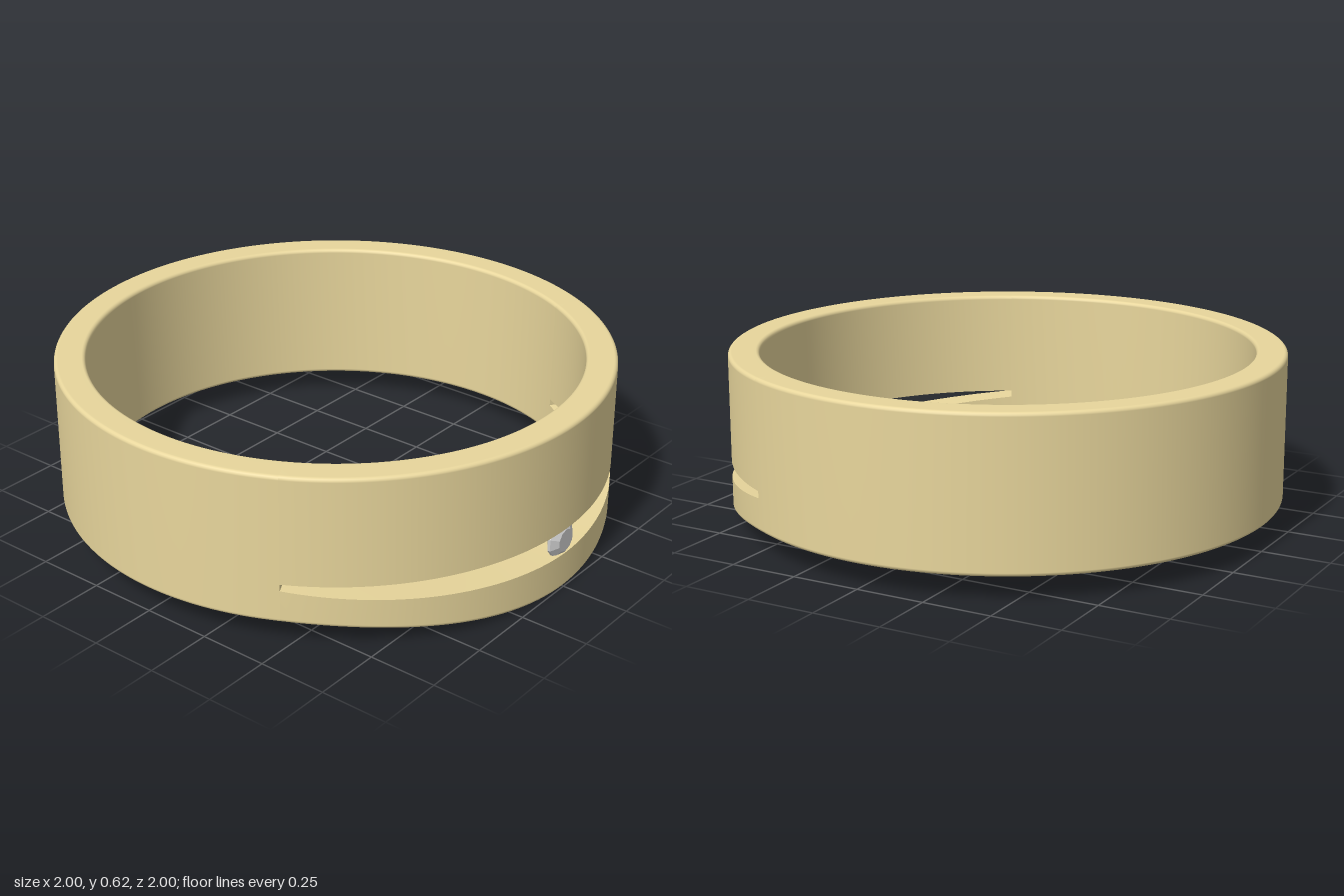
import * as THREE from 'three';

const R_OUT = 1, R_IN = 0.888, TOP = 0.63, FILLET = 0.014;
const SLOT_TOP = 0.235, SLOT_END = 1.075, DIP_END = 1.13;

// Heights that vary with the angle a, measured from the front (+z) towards +x
const bottomY = (a) => {
  const t = Math.min(Math.abs(a) / DIP_END, 1);
  return 0.09 - 0.0425 * (1 + Math.cos(Math.PI * t));
};
const slotY = (a) => 0.14 + 0.07 * Math.pow(Math.min(Math.abs(a) / SLOT_END, 1), 1.5);

// Rectangular section as [r, y] points; each corner is rounded or sharp (doubled point)
function section(low, high, roundLow, roundHigh) {
  const points = [];
  const corner = (r, y, sr, sy, startAngle, round) => {
    if (!round) return points.push([r, y], [r, y]);
    for (let k = 0; k <= 4; k++) {
      const t = startAngle + (k / 4) * Math.PI / 2;
      points.push([
        r - sr * FILLET + FILLET * Math.cos(t),
        y - sy * FILLET + FILLET * Math.sin(t),
      ]);
    }
  };
  corner(R_OUT, low, 1, -1, -Math.PI / 2, roundLow);
  corner(R_OUT, high, 1, 1, 0, roundHigh);
  corner(R_IN, high, -1, 1, Math.PI / 2, roundHigh);
  corner(R_IN, low, -1, -1, Math.PI, roundLow);
  return points;
}

// Sweep a changing section around the ring between two angles
function sweep(from, to, steps, sectionAt) {
  const positions = [], index = [];
  let n = 0;
  for (let i = 0; i <= steps; i++) {
    const a = from + (to - from) * i / steps;
    const points = sectionAt(a);
    n = points.length;
    for (const [r, y] of points) positions.push(r * Math.sin(a), y, r * Math.cos(a));
  }
  for (let i = 0; i < steps; i++) {
    for (let j = 0; j < n; j++) {
      const k = (j + 1) % n;
      const a = i * n + j, b = i * n + k, c = a + n, d = b + n;
      index.push(a, c, b, b, c, d);
    }
  }
  const geometry = new THREE.BufferGeometry();
  geometry.setAttribute('position', new THREE.Float32BufferAttribute(positions, 3));
  geometry.setIndex(index);
  geometry.computeVertexNormals();
  return geometry;
}

export function createModel() {
  const model = new THREE.Group();
  model.name = 'ring';
  const gold = new THREE.MeshStandardMaterial({ color: 0xe8d69c });
  const goldThin = new THREE.MeshStandardMaterial({ color: 0xe8d69c, side: THREE.DoubleSide });
  const stone = new THREE.MeshStandardMaterial({ color: 0xcccccc, flatShading: true });

  const add = (name, geometry, material) => {
    const mesh = new THREE.Mesh(geometry, material);
    mesh.name = name;
    model.add(mesh);
    return mesh;
  };

  // Solid band round the back and sides
  const wrap = (a) => (a > Math.PI ? a - 2 * Math.PI : a);
  add('backBand', sweep(SLOT_END, 2 * Math.PI - SLOT_END, 120,
    (a) => section(bottomY(wrap(a)), TOP, true, true)), gold);

  // Front of the band, split by the slot
  add('upperBand', sweep(-SLOT_END, SLOT_END, 64,
    () => section(SLOT_TOP, TOP, false, true)), gold);
  add('lowerBand', sweep(-SLOT_END, SLOT_END, 64,
    (a) => section(bottomY(a), slotY(a), true, false)), gold);

  // Small walls closing the ends of the slot
  const wallHeight = SLOT_TOP - slotY(SLOT_END);
  for (const side of [-1, 1]) {
    const a = side * SLOT_END, r = (R_OUT + R_IN) / 2;
    const wall = add(side > 0 ? 'leftSlotEnd' : 'rightSlotEnd',
      new THREE.PlaneGeometry(R_OUT - R_IN, wallHeight), goldThin);
    wall.position.set(r * Math.sin(a), SLOT_TOP - wallHeight / 2, r * Math.cos(a));
    wall.rotation.y = a - Math.PI / 2;
  }

  // Faceted stone held in the slot, table facing the front
  const profile = [[0, -0.05], [0.07, -0.006], [0.07, 0.004], [0.042, 0.024], [0, 0.024]]
    .map(([r, y]) => new THREE.Vector2(r, y));
  const gem = add('gem', new THREE.LatheGeometry(profile, 10), stone);
  gem.rotation.x = Math.PI / 2;
  gem.position.set(0, 0.188, 0.975);

  return model;
}
